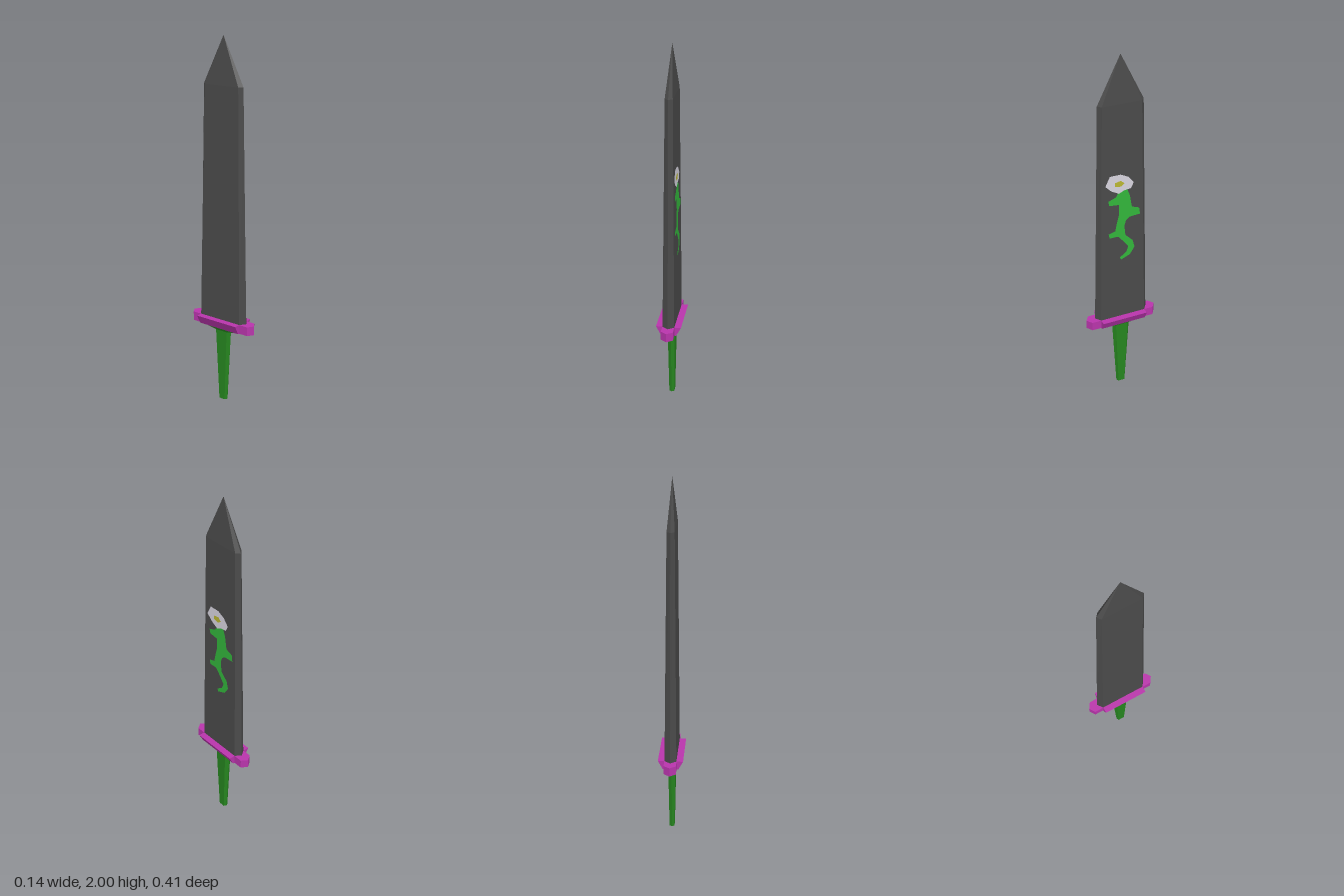
import * as THREE from 'three';

const mat = (name, color, side = THREE.FrontSide) => {
  const m = new THREE.MeshStandardMaterial({ color, side });
  m.name = name;
  return m;
};

// Solid lofted through flat hexagonal sections: [y, tip z, shoulder z, half thickness x]
function hexLoft(sections) {
  const rings = sections.map(([y, t, s, x]) =>
    [[0, t], [x, s], [x, -s], [0, -t], [-x, -s], [-x, s]].map(([px, pz]) => new THREE.Vector3(px, y, pz)));
  const pos = [];
  const tri = (a, b, c) => {
    if (a.equals(b) || b.equals(c) || a.equals(c)) return;
    for (const p of [a, b, c]) pos.push(p.x, p.y, p.z);
  };
  for (let r = 0; r < rings.length - 1; r++) {
    const lo = rings[r], hi = rings[r + 1];
    for (let i = 0; i < 6; i++) {
      const j = (i + 1) % 6;
      tri(lo[i], lo[j], hi[j]);
      tri(lo[i], hi[j], hi[i]);
    }
  }
  const bottom = rings[0], top = rings[rings.length - 1];
  for (let i = 1; i < 5; i++) {
    tri(bottom[0], bottom[i + 1], bottom[i]);
    tri(top[0], top[i], top[i + 1]);
  }
  const g = new THREE.BufferGeometry();
  g.setAttribute('position', new THREE.Float32BufferAttribute(pos, 3));
  g.computeVertexNormals();
  return g;
}

const toShape = pts => new THREE.Shape(pts.map(([x, y]) => new THREE.Vector2(x, y)));

// Half thickness of the tapering blade at a given height
const bladeX = y => THREE.MathUtils.mapLinear(y, 0.48, 1.75, 0.032, 0.02);

// Flat painted shape, laid on the sloping +x face of the blade
function decal(pts, lift) {
  const g = new THREE.ShapeGeometry(toShape(pts));
  const p = g.attributes.position;
  for (let i = 0; i < p.count; i++) {
    const u = p.getX(i), y = p.getY(i);
    p.setXYZ(i, bladeX(y) + lift, y, -u);
  }
  g.computeVertexNormals();
  return g;
}

export function createModel() {
  const group = new THREE.Group();
  const steel = mat('dark steel', 0x4a4a4a);
  const purple = mat('purple', 0xb835ab);
  const gripGreen = mat('grip green', 0x26851f);
  const leafGreen = mat('leaf green', 0x32b43b, THREE.DoubleSide);
  const white = mat('petal white', 0xd6d3de, THREE.DoubleSide);
  const yellow = mat('pollen yellow', 0xb9b532, THREE.DoubleSide);
  const add = (name, geometry, material) => {
    const m = new THREE.Mesh(geometry, material);
    m.name = name;
    group.add(m);
  };

  // Blade narrowing to a point
  add('blade', hexLoft([
    [0.48, 0.153, 0.13, 0.032],
    [1.75, 0.125, 0.107, 0.02],
    [2, 0, 0, 0],
  ]), steel);

  // Grip flaring out under the guard
  add('grip', hexLoft([
    [0, 0.026, 0.018, 0.014],
    [0.412, 0.051, 0.036, 0.02],
    [0.436, 0.153, 0.13, 0.032],
  ]), gripGreen);

  // Guard: pointed bar with a flared block across the middle
  add('guardBar', hexLoft([
    [0.434, 0.204, 0.182, 0.033],
    [0.484, 0.204, 0.182, 0.033],
  ]), purple);
  const flare = new THREE.ExtrudeGeometry(
    toShape([[-0.042, 0.434], [0.042, 0.434], [0.068, 0.484], [-0.068, 0.484]]),
    { depth: 0.26, bevelEnabled: false });
  flare.translate(0, 0, -0.13);
  add('guardFlare', flare, purple);

  // Painted flower on one face
  add('flowerStem', decal([
    [-0.016, 1.275], [0.026, 1.275], [0.042, 1.233], [0.053, 1.164], [0.095, 1.148],
    [0.1, 1.11], [0.042, 1.106], [0.02, 1.09], [0.01, 1.058], [0.016, 1.0],
    [0.058, 0.958], [0.069, 0.915], [0.042, 0.873], [-0.01, 0.852], [-0.016, 0.868],
    [0.021, 0.894], [0.032, 0.926], [0.005, 0.963], [-0.026, 1.0], [-0.074, 1.0],
    [-0.08, 1.026], [-0.042, 1.037], [-0.032, 1.085], [-0.021, 1.127], [-0.021, 1.19],
    [-0.074, 1.196], [-0.08, 1.222], [-0.037, 1.238],
  ], 0.001), leafGreen);
  add('flowerPetals', decal([
    [-0.07, 1.365], [-0.01, 1.365], [0.032, 1.344], [0.063, 1.307], [0.048, 1.275],
    [0.01, 1.27], [-0.02, 1.256], [-0.063, 1.28], [-0.095, 1.312],
  ], 0.002), white);
  add('flowerCentre', decal([
    [-0.042, 1.323], [-0.01, 1.33], [0.01, 1.312], [-0.01, 1.296], [-0.042, 1.302],
  ], 0.003), yellow);

  return group;
}
